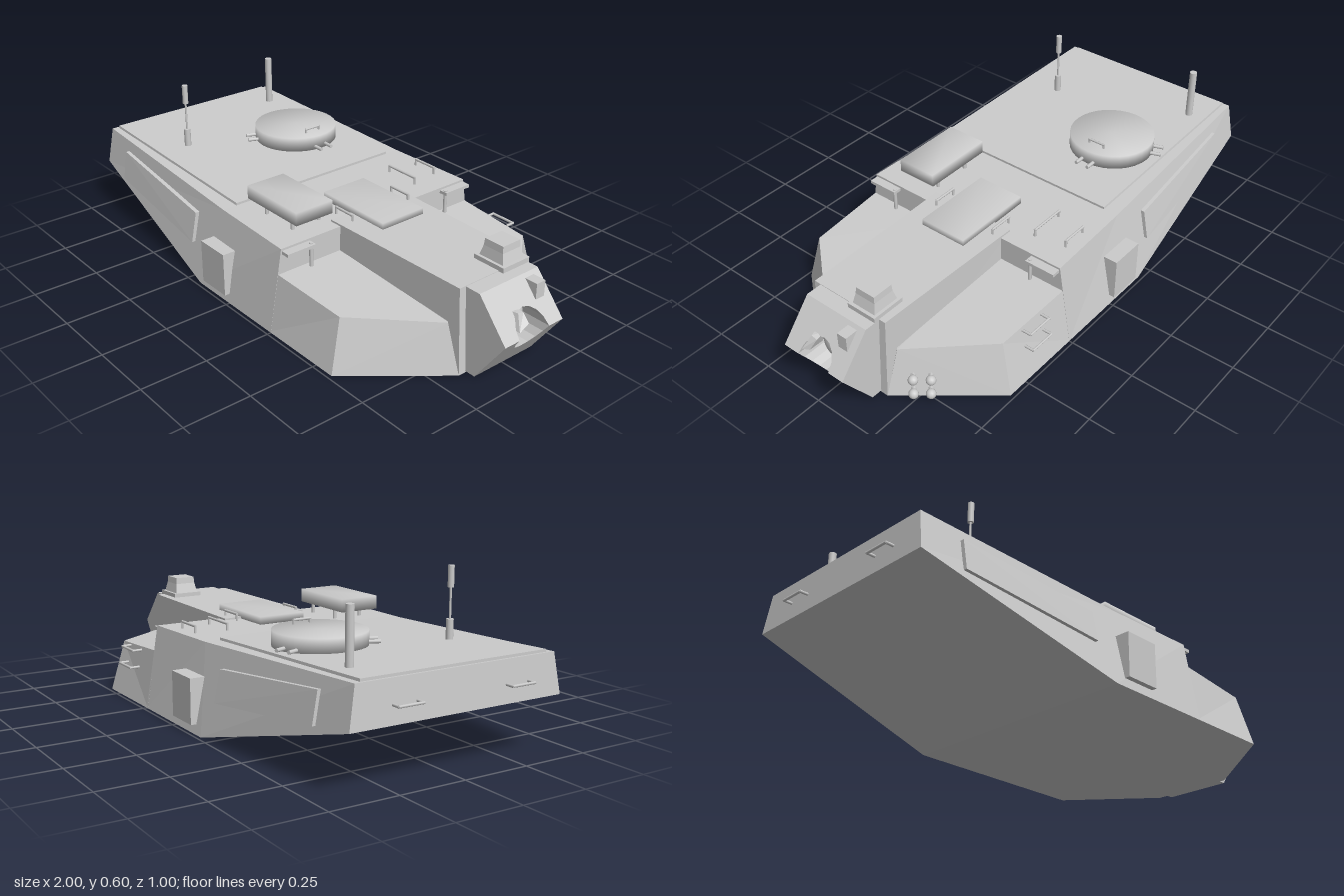
import * as THREE from 'three';
import { mergeGeometries, mergeVertices } from 'three/addons/utils/BufferGeometryUtils.js';

const grey = new THREE.MeshStandardMaterial({ color: 0xcccccc });
const V = (x, y, z) => new THREE.Vector3(x, y, z);

// Solid through matching rings of [x, y, z] corners, capped at both ends
function loft(rings) {
  let tris = [];
  const n = rings[0].length;
  const add = (a, b, c) => tris.push([V(...a), V(...b), V(...c)]);
  for (let r = 0; r < rings.length - 1; r++) {
    for (let i = 0; i < n; i++) {
      const j = (i + 1) % n, A = rings[r], B = rings[r + 1];
      add(A[i], A[j], B[j]);
      add(A[i], B[j], B[i]);
    }
  }
  const first = rings[0], last = rings[rings.length - 1];
  for (let i = 1; i < n - 1; i++) {
    add(first[0], first[i + 1], first[i]);
    add(last[0], last[i], last[i + 1]);
  }
  // Turn the faces outward whatever the ring direction
  const c = V(...first[0]);
  const volume = tris.reduce((s, [p, q, r]) =>
    s + p.clone().sub(c).dot(q.clone().sub(c).cross(r.clone().sub(c))), 0);
  if (volume < 0) tris = tris.map(([p, q, r]) => [p, r, q]);
  const g = new THREE.BufferGeometry().setFromPoints(tris.flat());
  g.computeVertexNormals();
  return g;
}
const mirror = rings => rings.map(r => r.map(([x, y, z]) => [x, y, -z]));
const box = (x0, x1, y0, y1, z0, z1) => new THREE.BoxGeometry(x1 - x0, y1 - y0, z1 - z0)
  .translate((x0 + x1) / 2, (y0 + y1) / 2, (z0 + z1) / 2);
const post = (x, z, y0, y1, r, sides = 12) =>
  new THREE.CylinderGeometry(r, r, y1 - y0, sides).translate(x, (y0 + y1) / 2, z);

// Normals averaged over the edges for softly shaded hatches
function soften(g) {
  g.deleteAttribute('normal');
  g.deleteAttribute('uv');
  const m = mergeVertices(g, 1e-4);
  m.computeVertexNormals();
  return m;
}
function bar(a, b, r = 0.005) {
  const d = b.clone().sub(a);
  const g = new THREE.CylinderGeometry(r, r, d.length() + r, 6);
  g.applyQuaternion(new THREE.Quaternion().setFromUnitVectors(V(0, 1, 0), d.normalize()));
  return g.translate((a.x + b.x) / 2, (a.y + b.y) / 2, (a.z + b.z) / 2);
}
// U-shaped grab handle standing off by the vector out
function handle(a, b, out) {
  const c = a.clone().add(out), d = b.clone().add(out);
  return mergeGeometries([bar(a, c), bar(c, d), bar(d, b)]);
}

export function createModel() {
  const model = new THREE.Group();
  const add = (name, g) => {
    const m = new THREE.Mesh(g, grey);
    m.name = name;
    model.add(m);
  };

  // Main shell, tapering up to the rear bustle
  const section = (xb, yb, zb, xt, yt, zt) =>
    [[xb, yb, zb], [xt, yt, zt], [xt, yt, -zt], [xb, yb, -zb]];
  add('turretShell', loft([
    section(-0.97, 0.21, 0.412, -0.96, 0.352, 0.388),
    section(-0.19, 0.005, 0.485, -0.11, 0.318, 0.42),
    section(0.25, 0.005, 0.485, 0.25, 0.315, 0.433),
  ]));
  add('rearRoofPlate', loft([
    section(-0.95, 0.34, 0.365, -0.95, 0.361, 0.362),
    section(-0.11, 0.31, 0.365, -0.11, 0.327, 0.362),
  ]));
  add('centreBlock', loft([
    section(0.2, 0.005, 0.18, 0.2, 0.322, 0.175),
    section(0.84, 0.005, 0.165, 0.82, 0.322, 0.162),
  ]));

  // Low sloped cheeks beside the centre block
  const cheek = [
    [[0.24, 0.005, 0.15], [0.24, 0.005, 0.485], [0.58, 0.005, 0.485], [0.84, 0.005, 0.165], [0.8, 0.005, 0.15]],
    [[0.24, 0.222, 0.15], [0.24, 0.222, 0.448], [0.56, 0.2, 0.435], [0.785, 0.182, 0.17], [0.76, 0.182, 0.15]],
  ];
  // Side armour panels and boxes
  const panel = [
    [[-0.81, 0.305, 0.39], [-0.26, 0.255, 0.42], [-0.26, 0.14, 0.44], [-0.81, 0.195, 0.41]],
    [[-0.81, 0.305, 0.415], [-0.26, 0.255, 0.444], [-0.26, 0.14, 0.467], [-0.81, 0.195, 0.434]],
  ];
  const parts = { cheek, sidePanel: panel };
  for (const [name, rings] of Object.entries(parts)) {
    add(name + 'Left', loft(rings));
    add(name + 'Right', loft(mirror(rings)));
  }
  for (const s of [1, -1]) {
    const tag = s > 0 ? 'Left' : 'Right';
    add('sideBox' + tag, box(-0.145, -0.005, 0.04, 0.205, -0.035, 0.035).translate(0, 0, s * 0.464));
    add('cheekPost' + tag, post(0.27, s * 0.32, 0.21, 0.31, 0.007, 8));
    add('cheekBracket' + tag, box(0.24, 0.285, 0.295, 0.307, s * 0.37 - 0.06, s * 0.37 + 0.06));
  }

  // Wedge mantlet in two halves around the gun opening
  const hy = 0.18, hr = 0.07, hw = 0.135;
  for (const up of [1, -1]) {
    const edge = up > 0 ? 0.14 : 0.17;
    const pts = [new THREE.Vector2(-hw, 0), new THREE.Vector2(-hw, up * edge),
      new THREE.Vector2(hw, up * edge), new THREE.Vector2(hw, 0)];
    for (let i = 0; i <= 8; i++) {
      const a = i * Math.PI / 8;
      pts.push(new THREE.Vector2(hr * Math.cos(a), up * hr * Math.sin(a)));
    }
    const g = new THREE.ExtrudeGeometry(new THREE.Shape(pts), { depth: 1, bevelEnabled: false });
    g.rotateY(Math.PI / 2);
    const p = g.attributes.position;
    for (let i = 0; i < p.count; i++) {
      const y = p.getY(i);
      p.setX(i, p.getX(i) > 0.5 ? 1 - Math.abs(y) * 0.12 / edge : 0.8);
      p.setY(i, y + hy);
    }
    g.computeVertexNormals();
    add(up > 0 ? 'mantletUpper' : 'mantletLower', g);
  }
  add('gunSocket', new THREE.SphereGeometry(hr, 16, 8, 0, Math.PI * 2, 0, Math.PI / 2)
    .scale(1, 0.6, 1).rotateZ(-Math.PI / 2).translate(0.875, hy, 0));
  add('socketLug', loft([
    [[0.92, 0.2, 0.065], [0.99, 0.2, 0.06], [0.96, 0.25, 0.04], [0.92, 0.25, 0.05]],
    [[0.92, 0.2, 0.035], [0.99, 0.22, 0.02], [0.96, 0.245, 0.015], [0.92, 0.25, 0.02]],
  ]));
  add('mantletSight', box(0.885, 0.94, 0.24, 0.308, -0.105, -0.065));

  // Front sight housing
  add('sightBase', box(0.71, 0.84, 0.315, 0.338, -0.135, -0.015));
  const ring = (y, a, w) => [[0.775 - a, y, -0.075 - w], [0.775 + a, y, -0.075 - w],
    [0.775 + a, y, -0.075 + w], [0.775 - a, y, -0.075 + w]];
  add('sightHousing', loft([ring(0.33, 0.055, 0.05), ring(0.375, 0.042, 0.042), ring(0.4, 0.04, 0.04)]));

  // Round cupola with clamps around the rim
  const cx = -0.443, cz = -0.165;
  add('cupola', soften(new THREE.CylinderGeometry(0.163, 0.163, 0.055, 32).translate(cx, 0.368, cz)));
  add('cupolaNeck', post(cx, cz, 0.32, 0.345, 0.14, 24));
  for (const deg of [0, 110, 245]) {
    const a = deg * Math.PI / 180;
    for (const o of [-0.025, 0.025]) {
      add('cupolaClamp', new THREE.CylinderGeometry(0.007, 0.007, 0.05, 8)
        .rotateZ(Math.PI / 2).translate(0.175, 0.353, o).rotateY(a).translate(cx, 0, cz));
    }
  }
  add('cupolaHandle', handle(V(-0.335, 0.39, -0.2), V(-0.335, 0.39, -0.135), V(0, 0.02, 0)));

  // Roof hatches
  add('centreHatch', soften(box(0.05, 0.372, 0.315, 0.346, -0.105, 0.085)));
  add('raisedHatch', soften(box(-0.072, 0.212, 0.354, 0.404, 0.178, 0.338)));
  for (const x of [0.01, 0.16]) {
    for (const z of [0.2, 0.315]) add('hatchLeg', post(x, z, 0.31, 0.36, 0.007, 8));
  }

  // Antennas
  add('rearMast', post(-0.8, -0.295, 0.34, 0.548, 0.014));
  add('antennaBase', post(-0.627, 0.235, 0.34, 0.418, 0.013));
  add('antennaRod', post(-0.627, 0.235, 0.41, 0.53, 0.004, 8));
  add('antennaTip', post(-0.627, 0.235, 0.525, 0.6, 0.011));

  // Grab handles on the rear, roof and right cheek
  for (const z of [-0.21, 0.23]) {
    add('rearHandle', handle(V(-0.965, 0.272, z - 0.045), V(-0.965, 0.272, z + 0.045), V(-0.03, 0, 0)));
  }
  for (const [x, z, w] of [[0.095, -0.38, 0.05], [0.095, -0.26, 0.07], [0.21, -0.142, 0.045], [0.21, 0.122, 0.045]]) {
    add('roofHandle', handle(V(x - w, 0.31, z), V(x + w, 0.31, z), V(0, 0.032, 0)));
  }
  for (const [y, z] of [[0.2, -0.448], [0.135, -0.46]]) {
    add('cheekHandle', handle(V(0.37, y, z), V(0.47, y, z), V(0, 0, -0.033)));
  }

  // Cluster of four dischargers on the right cheek
  for (const [y, z, x] of [[0.083, -0.226, 0.775], [0.083, -0.273, 0.738], [0.032, -0.235, 0.785], [0.032, -0.28, 0.748]]) {
    add('discharger', new THREE.SphereGeometry(0.018, 12, 8).translate(x + 0.012, y, z - 0.01));
    add('dischargerStem', bar(V(x - 0.03, y, z + 0.025), V(x + 0.01, y, z - 0.008), 0.011));
  }
  return model;
}
